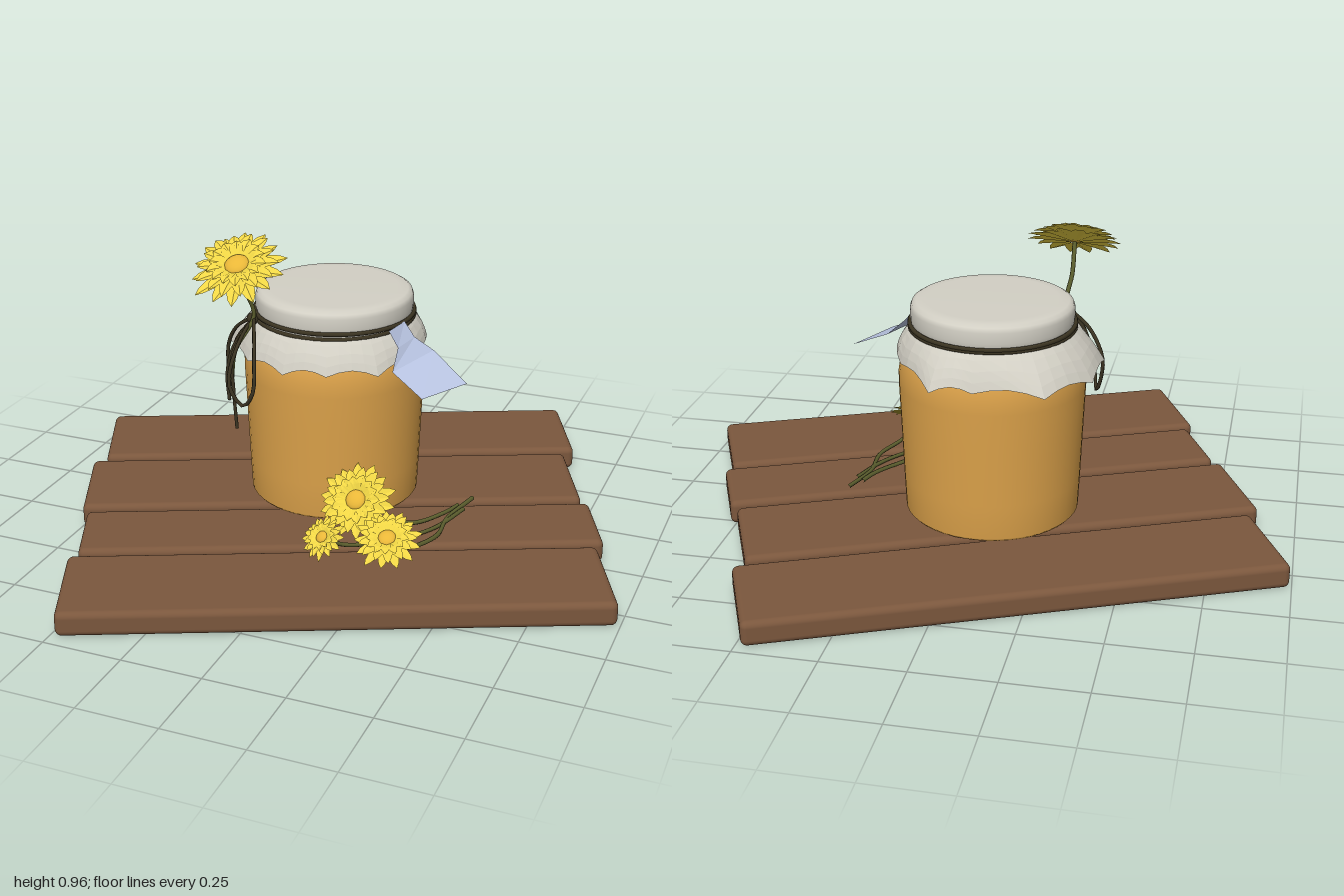
import * as THREE from 'three';
import { mergeGeometries } from 'three/addons/utils/BufferGeometryUtils.js';
import { RoundedBoxGeometry } from 'three/addons/geometries/RoundedBoxGeometry.js';

const mat = (color, extra = {}) => new THREE.MeshStandardMaterial({ color, ...extra });
const V = (p) => new THREE.Vector3(...p);
const lathe = (pts, n = 48) => new THREE.LatheGeometry(pts.map((p) => new THREE.Vector2(...p)), n);

function tube(points, radius, closed = false) {
  const curve = new THREE.CatmullRomCurve3(points.map(V), closed);
  return new THREE.TubeGeometry(curve, 28, radius, 6, closed);
}

// surface from a grid of points, rows[i][j]
function sheet(rows) {
  const n = rows[0].length, index = [];
  for (let i = 0; i < rows.length - 1; i++)
    for (let j = 0; j < n - 1; j++) {
      const a = i * n + j, b = a + n;
      index.push(a, b, a + 1, b, b + 1, a + 1);
    }
  const g = new THREE.BufferGeometry();
  g.setAttribute('position', new THREE.Float32BufferAttribute(rows.flat(2), 3));
  g.setIndex(index);
  g.computeVertexNormals();
  return g;
}

// one pointed petal along +x, creased along its middle
function petal(length, width, lift) {
  const stations = [[0.12, 0.3], [0.4, 0.85], [0.65, 1], [0.85, 0.65], [1, 0.02]];
  return sheet(stations.map(([t, w]) => {
    const y = lift * Math.sin(t * 1.9), h = (w * width) / 2;
    return [[t * length, y + h * 0.3, -h], [t * length, y, 0], [t * length, y + h * 0.3, h]];
  }));
}

function flower(name, center, normal, r, count) {
  const group = new THREE.Group();
  const petals = [];
  for (const [size, lift, shift] of [[1, 0.02, 0], [0.86, 0.16, 0.5], [0.62, 0.24, 0.25]])
    for (let i = 0; i < count; i++) {
      const length = r * size * (1 + 0.05 * Math.sin(i * 2.3 + shift * 5));
      petals.push(petal(length, r * 0.3, r * lift).rotateY(((i + shift) / count) * Math.PI * 2));
    }
  const petalMesh = new THREE.Mesh(mergeGeometries(petals),
    mat(0xf0d645, { side: THREE.DoubleSide, flatShading: true }));
  petalMesh.name = 'petals';
  const heart = new THREE.Mesh(new THREE.SphereGeometry(r * 0.27, 16, 10), mat(0xe9b738));
  heart.name = 'flowerCentre';
  heart.scale.y = 0.5;
  heart.position.y = r * 0.14;
  group.add(petalMesh, heart);
  group.name = name;
  group.position.set(...center);
  group.quaternion.setFromUnitVectors(new THREE.Vector3(0, 1, 0), V(normal).normalize());
  return group;
}

export function createModel() {
  const model = new THREE.Group();
  const add = (name, geometry, material, parent = model) => {
    const mesh = new THREE.Mesh(geometry, material);
    mesh.name = name;
    parent.add(mesh);
    return mesh;
  };

  // board of four planks: [shift along, position across, width]
  const board = new THREE.Group();
  board.name = 'board';
  board.rotation.y = 0.415;
  model.add(board);
  const wood = mat(0x7b573d);
  [[0.026, -0.53, 0.35], [-0.015, -0.153, 0.35], [0.003, 0.185, 0.27], [-0.024, 0.518, 0.352]]
    .forEach(([u, v, w], i) => {
      add('plank' + (i + 1), new RoundedBoxGeometry(1.612, 0.078, w, 3, 0.02), wood, board)
        .position.set(u, 0.039, v);
    });

  // jar with cloth cover
  const jar = new THREE.Group();
  jar.name = 'jar';
  jar.position.set(-0.053, 0, -0.108);
  model.add(jar);
  add('jarBody', lathe([[0, 0.08], [0.262, 0.08], [0.271, 0.09], [0.276, 0.2], [0.283, 0.38], [0.288, 0.5],
    [0.288, 0.54], [0.281, 0.585], [0.265, 0.62], [0.24, 0.655], [0.235, 0.7]]), mat(0xdca24a));
  const cloth = mat(0xd3d0c5, { side: THREE.DoubleSide });
  add('clothTop', lathe([[0.243, 0.68], [0.247, 0.695], [0.25, 0.71], [0.25, 0.742], [0.245, 0.756],
    [0.232, 0.764], [0.2, 0.766], [0, 0.766]]), cloth, jar);

  // skirt of the cloth: corners [x, z, y], hem rises between them
  const corners = [[-0.21, -0.28, 0.565], [0, -0.305, 0.575], [0.13, -0.3, 0.565], [0.25, -0.15, 0.59],
    [0.305, 0.05, 0.585], [0.23, 0.22, 0.575], [0.09, 0.295, 0.58], [-0.05, 0.305, 0.57],
    [-0.19, 0.25, 0.575], [-0.335, 0.08, 0.56], [-0.325, -0.11, 0.56]];
  const hem = [];
  corners.forEach((c, i) => {
    const d = corners[(i + 1) % corners.length];
    for (let k = 0; k < 4; k++) {
      const t = k / 4, x = c[0] + (d[0] - c[0]) * t, z = c[1] + (d[1] - c[1]) * t;
      const r = Math.max(Math.hypot(x, z), 0.293);
      hem.push([Math.atan2(z, x), r, c[2] + (d[2] - c[2]) * t + 0.02 * Math.sin(Math.PI * t)]);
    }
  });
  hem.push(hem[0]);
  const skirtRows = [0, 0.25, 0.5, 0.75, 1].map((t) => hem.map(([a, r, y]) => {
    const rr = 0.246 + (r - 0.246) * t + 0.008 * Math.sin(Math.PI * t);
    return [rr * Math.cos(a), 0.692 + (y - 0.692) * t, rr * Math.sin(a)];
  }));
  add('clothSkirt', sheet(skirtRows),
    mat(0xd3d0c5, { side: THREE.DoubleSide, flatShading: true }), jar);
  jar.add(model.getObjectByName('jarBody'));

  // string wound round the neck, with bow and loose ends
  const twine = mat(0x3b3422);
  for (const [y, tilt] of [[0.682, 0.012], [0.694, -0.01]]) {
    const ring = add('string', new THREE.TorusGeometry(0.252, 0.007, 8, 48), twine, jar);
    ring.rotation.x = Math.PI / 2 + tilt;
    ring.position.y = y;
  }
  add('knot', new THREE.SphereGeometry(0.02, 12, 8), twine).position.set(-0.26, 0.685, 0.06);
  add('bowRight', tube([[-0.26, 0.685, 0.06], [-0.262, 0.63, 0.18], [-0.262, 0.53, 0.24], [-0.22, 0.465, 0.235],
    [-0.178, 0.52, 0.25], [-0.185, 0.62, 0.22], [-0.23, 0.685, 0.12]], 0.006, true), twine);
  add('bowLeft', tube([[-0.26, 0.685, 0.06], [-0.33, 0.64, 0.03], [-0.378, 0.55, 0], [-0.357, 0.435, 0.03],
    [-0.345, 0.5, 0.06], [-0.31, 0.62, 0.07]], 0.006, true), twine);
  add('looseEnd1', tube([[-0.26, 0.685, 0.06], [-0.3, 0.61, 0.12], [-0.32, 0.52, 0.13], [-0.315, 0.43, 0.13]],
    0.006), twine);
  add('looseEnd2', tube([[-0.26, 0.685, 0.06], [-0.285, 0.6, 0.16], [-0.28, 0.48, 0.17], [-0.272, 0.355, 0.17]],
    0.006), twine);

  // paper tag tucked under the string
  const tagRows = [
    [[0.185, 0.7, 0.045], [0.2, 0.7, -0.055]],
    [[0.215, 0.65, 0.045], [0.235, 0.655, -0.05]],
    [[0.225, 0.6, 0.12], [0.29, 0.61, -0.075]],
    [[0.335, 0.547, 0.165], [0.42, 0.543, -0.01]],
  ];
  add('tag', sheet(tagRows), mat(0xbcc8e6, { side: THREE.DoubleSide, flatShading: true }));

  // flowers: one tucked in the string, three lying on the board
  model.add(
    flower('upperFlower', [-0.26, 0.875, 0.155], [0, 0.857, 0.515], 0.148, 14),
    flower('largeFlower', [0.145, 0.19, 0.2], [0, 0.65, 0.76], 0.122, 14),
    flower('mediumFlower', [0.3, 0.16, 0.352], [0.05, 0.87, 0.49], 0.103, 13),
    flower('smallFlower', [0.1, 0.135, 0.365], [-0.25, 0.7, 0.66], 0.073, 12));
  const green = mat(0x5c5f2e);
  const stems = [
    [[-0.26, 0.875, 0.155], [-0.262, 0.79, 0.105], [-0.25, 0.7, 0.075], [-0.29, 0.6, 0.13], [-0.3, 0.5, 0.14]],
    [[0.145, 0.185, 0.195], [0.19, 0.12, 0.15], [0.29, 0.095, 0.1], [0.36, 0.095, 0], [0.385, 0.095, -0.07]],
    [[0.3, 0.155, 0.35], [0.33, 0.105, 0.28], [0.385, 0.092, 0.15], [0.38, 0.092, 0.02], [0.415, 0.098, -0.13]],
    [[0.1, 0.13, 0.36], [0.15, 0.095, 0.31], [0.27, 0.09, 0.22], [0.36, 0.09, 0.1], [0.41, 0.095, -0.05]],
  ];
  stems.forEach((points, i) => add('stem' + (i + 1), tube(points, 0.007), green));

  return model;
}
